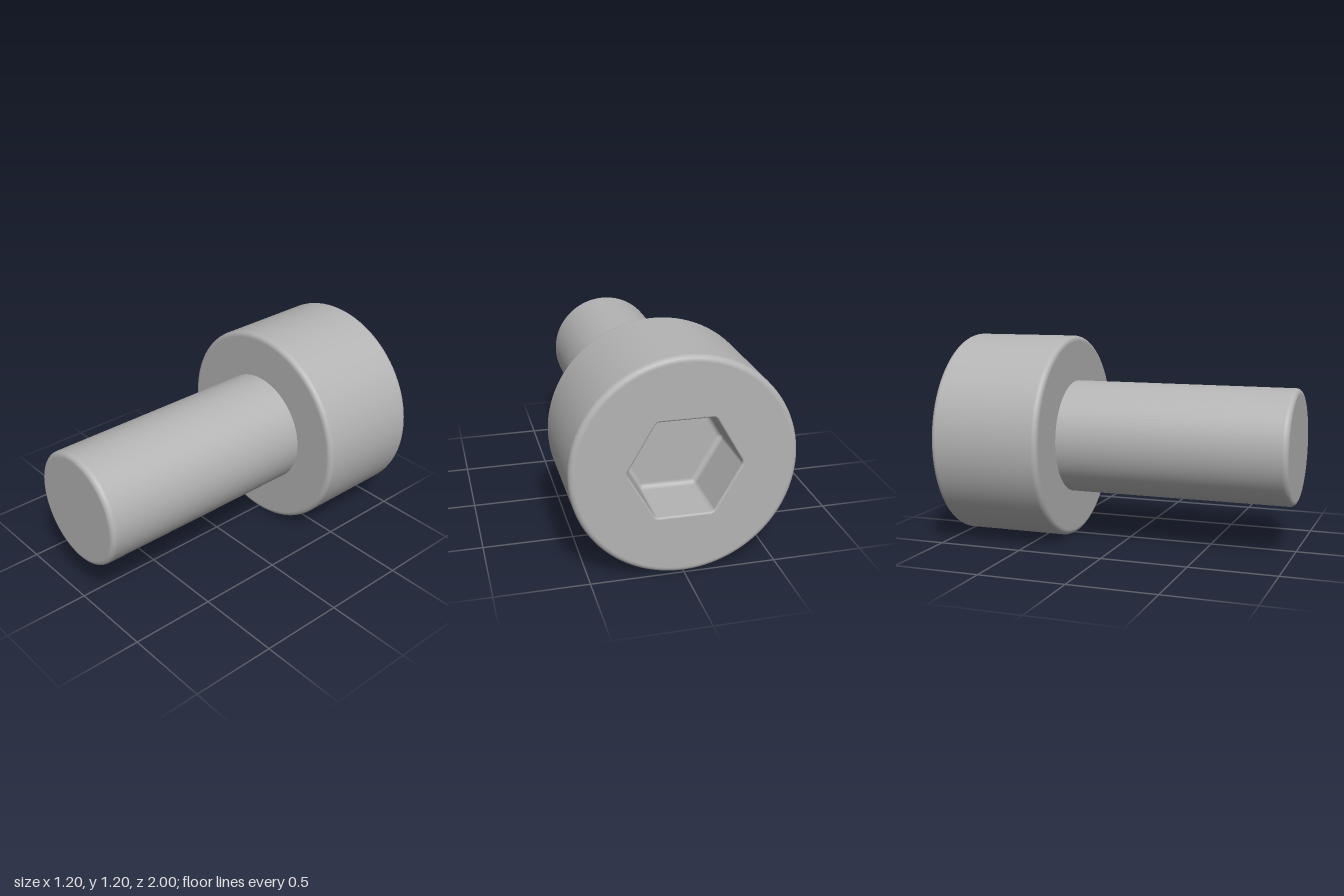
import * as THREE from 'three';

const CENTER_Y = 0.6, HEAD_R = 0.6, SHANK_R = 0.333;
const BACK_Z = -1, SHOULDER_Z = -0.34, TIP_Z = 1, FILLET = 0.03;
const HEX_APOTHEM = 0.265, HEX_CORNER = 0.03, SOCKET_DEPTH = 0.35;
const EASE = 0.002; // short lead-in that keeps the flats beside a fillet evenly shaded

// Quarter-round from angle a0 to a1 about (cx, cy)
function arc(cx, cy, r, a0, a1, n = 8) {
  return Array.from({ length: n + 1 }, (_, i) => {
    const a = a0 + (a1 - a0) * i / n;
    return new THREE.Vector2(cx + r * Math.cos(a), cy + r * Math.sin(a));
  });
}

// Turned part along z from a (radius, z) profile
function turned(name, profile, material) {
  const mesh = new THREE.Mesh(new THREE.LatheGeometry(profile, 96).rotateX(Math.PI / 2), material);
  mesh.name = name;
  return mesh;
}

// Hexagon with rounded corners, moved inward by inset
function hexOutline(inset) {
  const points = [], c = (HEX_APOTHEM - HEX_CORNER) / Math.cos(Math.PI / 6);
  for (let k = 0; k < 6; k++) {
    const a = k * Math.PI / 3;
    points.push(...arc(c * Math.cos(a), c * Math.sin(a), HEX_CORNER - inset, a - Math.PI / 6, a + Math.PI / 6, 6));
  }
  return points;
}

// Recess walls and floor, lofted from the mouth down
function socketGeometry(mouth) {
  const f = 0.027, m = mouth;
  const levels = [
    ...arc(-m, -m, m, Math.PI / 2, 0, 4),
    new THREE.Vector2(0, -m - EASE),
    new THREE.Vector2(0, -SOCKET_DEPTH + f + EASE),
    ...arc(f, -SOCKET_DEPTH + f, f, Math.PI, Math.PI * 1.5, 6),
    new THREE.Vector2(f + EASE, -SOCKET_DEPTH),
  ];
  const position = [], index = [];
  let n = 0;
  levels.forEach(({ x, y }) => {
    const ring = hexOutline(x);
    n = ring.length;
    ring.forEach(p => position.push(p.x, p.y, y));
  });
  const last = (levels.length - 1) * n, center = levels.length * n;
  position.push(0, 0, -SOCKET_DEPTH);
  for (let j = 0; j < n; j++) {
    const k = (j + 1) % n;
    for (let i = 0; i < last; i += n) {
      index.push(i + j, i + k, i + n + j, i + k, i + n + k, i + n + j);
    }
    index.push(last + j, last + k, center);
  }
  const geometry = new THREE.BufferGeometry();
  geometry.setAttribute('position', new THREE.Float32BufferAttribute(position, 3));
  geometry.setIndex(index);
  geometry.computeVertexNormals();
  return geometry;
}

export function createModel() {
  const steel = new THREE.MeshStandardMaterial({ color: 0xb4b4b4 });
  steel.name = 'steel grey';
  const V = (x, y) => new THREE.Vector2(x, y);
  const group = new THREE.Group();
  group.name = 'socketScrew';
  const body = new THREE.Group();
  body.name = 'screwBody';
  body.position.y = CENTER_Y;
  group.add(body);

  // Head: rounded rims and flat underside
  const rimR = HEAD_R - FILLET;
  body.add(turned('head', [
    ...arc(rimR, BACK_Z + FILLET, FILLET, -Math.PI / 2, 0),
    V(HEAD_R, BACK_Z + FILLET + EASE),
    V(HEAD_R, SHOULDER_Z - FILLET - EASE),
    ...arc(rimR, SHOULDER_Z - FILLET, FILLET, 0, Math.PI / 2),
    V(rimR - EASE, SHOULDER_Z),
    V(SHANK_R - 0.03, SHOULDER_Z),
  ], steel));

  // Shank: plain cylinder with a rounded tip
  body.add(turned('shank', [
    V(SHANK_R, SHOULDER_Z - 0.02),
    V(SHANK_R, TIP_Z - FILLET - EASE),
    ...arc(SHANK_R - FILLET, TIP_Z - FILLET, FILLET, 0, Math.PI / 2),
    V(SHANK_R - FILLET - EASE, TIP_Z),
    V(0, TIP_Z),
  ], steel));

  // Drive end: flat ring around the hexagonal recess, facing backwards
  const drive = new THREE.Group();
  drive.name = 'driveEnd';
  drive.position.z = BACK_Z;
  drive.rotation.y = Math.PI;
  const mouth = 0.01;
  const face = new THREE.Shape().absarc(0, 0, rimR, 0, Math.PI * 2);
  face.holes.push(new THREE.Path(hexOutline(-mouth)));
  const faceMesh = new THREE.Mesh(new THREE.ShapeGeometry(face, 48), steel);
  faceMesh.name = 'headFace';
  const socket = new THREE.Mesh(socketGeometry(mouth), steel);
  socket.name = 'hexSocket';
  drive.add(faceMesh, socket);
  body.add(drive);
  return group;
}
